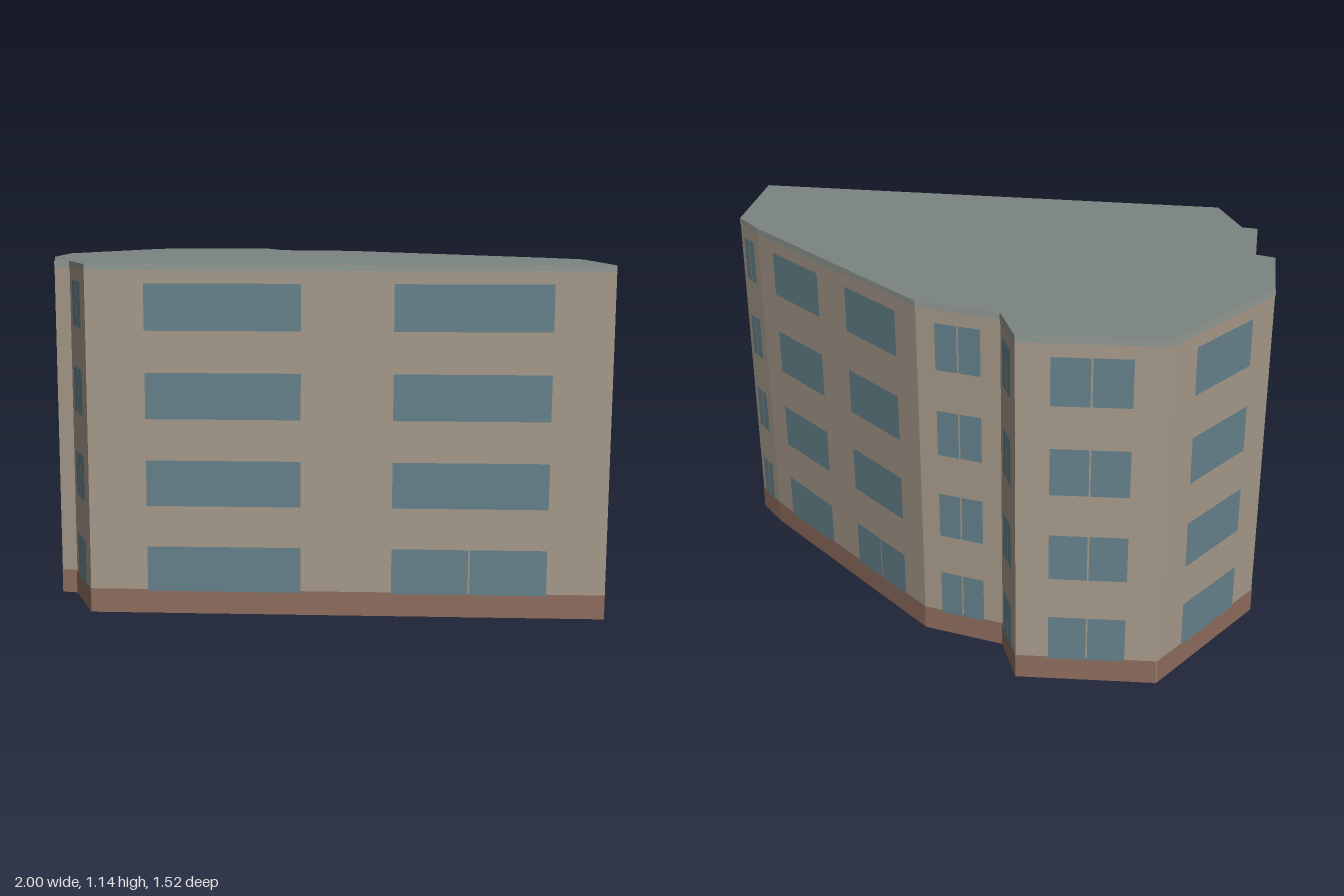
import * as THREE from 'three';
import { mergeGeometries } from 'three/addons/utils/BufferGeometryUtils.js';

// Footprint corners [x, z], walked so each wall faces outward
const PLAN = [
  [-1, -0.11], [-0.825, 0.395], [-0.6, 0.58], [-0.545, 0.545], [-0.335, 0.72],
  [-0.295, 0.685], [-0.07, 0.755], [1, -0.53], [0.66, -0.76], [0.52, -0.75],
  [-0.375, -0.588], [-0.585, -0.418], [-0.755, -0.467],
];
const HEIGHT = 1.14, BASE = 0.08, TRIM = 1.12;
const FLOORS = 4, STOREY = 0.285, SILL = 0.075, WINDOW_H = 0.15;

// Upright rectangle on the wall a-b, between fractions t0..t1 of its length
function panel([a, b], t0, t1, y0, y1, out = 0) {
  const dx = b[0] - a[0], dz = b[1] - a[1], len = Math.hypot(dx, dz);
  const geo = new THREE.PlaneGeometry((t1 - t0) * len, y1 - y0);
  const t = (t0 + t1) / 2;
  geo.rotateY(Math.atan2(-dz, dx));
  geo.translate(a[0] + dx * t - (dz / len) * out, (y0 + y1) / 2, a[1] + dz * t + (dx / len) * out);
  return geo;
}

export function createModel() {
  const building = new THREE.Group();
  building.name = 'apartmentBuilding';
  const add = (name, geo, color, side = THREE.FrontSide) => {
    const mesh = new THREE.Mesh(geo, new THREE.MeshStandardMaterial({ color, side }));
    mesh.name = name;
    building.add(mesh);
  };

  const walls = PLAN.map((p, i) => [p, PLAN[(i + 1) % PLAN.length]]);
  const band = (y0, y1, out) => mergeGeometries(walls.map((w) => panel(w, 0, 1, y0, y1, out)));

  // Open-bottomed shell, plinth and roof edge
  add('walls', band(0, HEIGHT, 0), 0xa69a8a, THREE.DoubleSide);
  add('plinth', band(0, BASE, 0.002), 0x8f6d5e);
  add('roofTrim', band(TRIM, HEIGHT, 0.002), 0x929a95);

  // Flat roof
  const roof = new THREE.ShapeGeometry(new THREE.Shape(PLAN.map(([x, z]) => new THREE.Vector2(x, -z))));
  roof.rotateX(-Math.PI / 2).translate(0, HEIGHT, 0);
  add('roof', roof, 0x7a8480, THREE.DoubleSide);

  // Windows: two wide ones on long walls, one narrow on short walls, none on the returns
  const panes = [];
  walls.forEach((wall, w) => {
    const len = Math.hypot(wall[1][0] - wall[0][0], wall[1][1] - wall[0][1]);
    if (len < 0.1) return;
    const wide = len > 0.8;
    const spans = wide ? [[0.113, 0.412], [0.588, 0.887]] : [[0.23, 0.77]];
    for (let f = 0; f < FLOORS; f++) {
      const y0 = SILL + f * STOREY, y1 = y0 + WINDOW_H;
      spans.forEach(([t0, t1], s) => {
        // Paired panes on narrow windows and on the wide ground-floor doors
        const paired = wide ? f === 0 && s === 1 : w !== 0;
        const mid = (t0 + t1) / 2, gap = 0.0025 / len;
        if (paired) {
          panes.push(panel(wall, t0, mid - gap, y0, y1, 0.004), panel(wall, mid + gap, t1, y0, y1, 0.004));
        } else {
          panes.push(panel(wall, t0, t1, y0, y1, 0.004));
        }
      });
    }
  });
  add('windows', mergeGeometries(panes), 0x66828c);

  return building;
}
